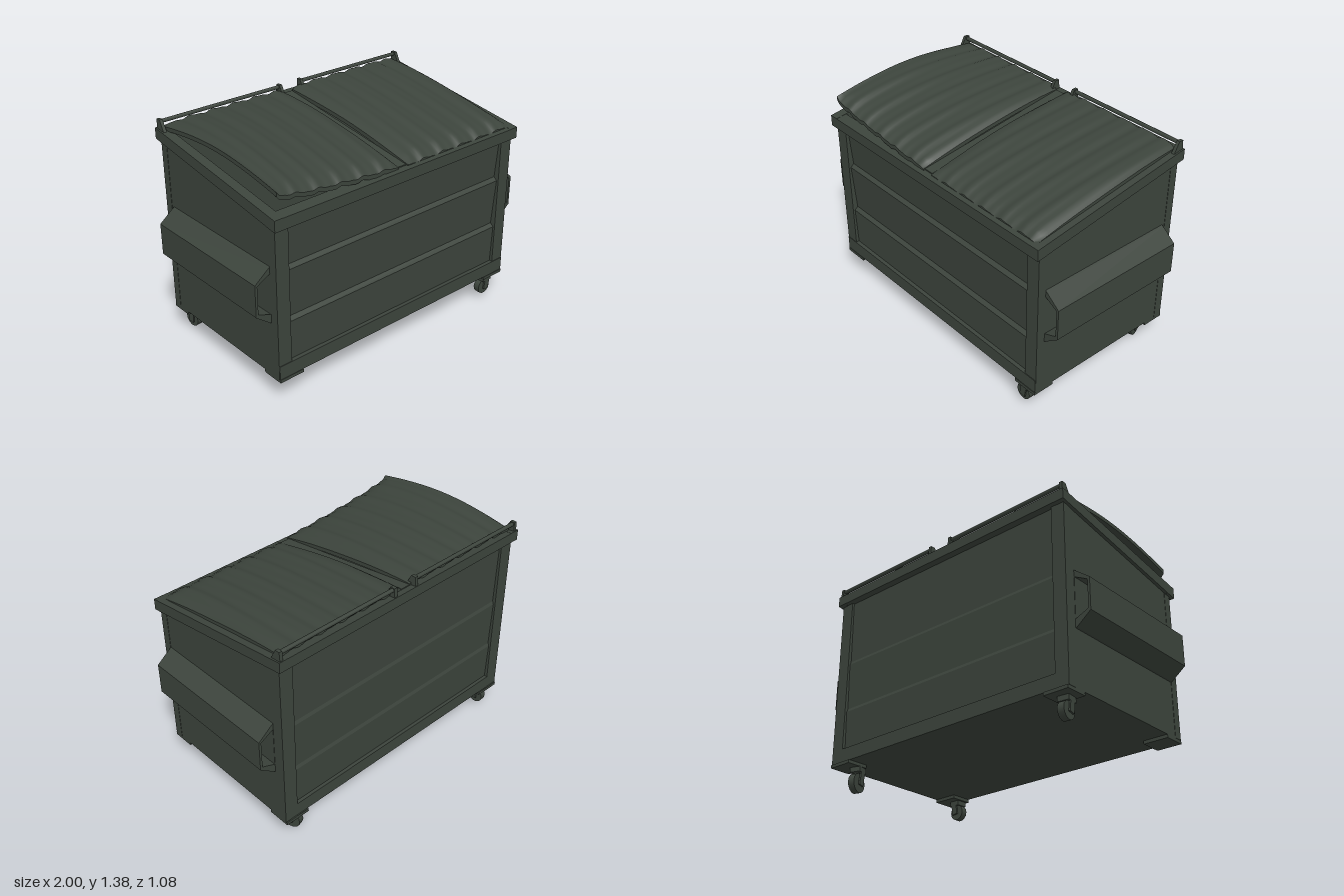
import * as THREE from 'three';

const paint = new THREE.MeshStandardMaterial({ color: 0x3c443c, side: THREE.DoubleSide });
paint.name = 'dark green paint';

function add(parent, name, geometry, x = 0, y = 0, z = 0) {
  const mesh = new THREE.Mesh(geometry, paint);
  mesh.name = name;
  mesh.position.set(x, y, z);
  parent.add(mesh);
  return mesh;
}

// Box given by its lower and upper corners
function block(parent, name, [x0, y0, z0], [x1, y1, z1]) {
  return add(parent, name, new THREE.BoxGeometry(x1 - x0, y1 - y0, z1 - z0),
    (x0 + x1) / 2, (y0 + y1) / 2, (z0 + z1) / 2);
}

const outline = (points) => new THREE.Shape(points.map(([a, b]) => new THREE.Vector2(a, b)));

// Side profile in [z, y], swept from x0 to x1
function sweep(parent, name, points, x0, x1) {
  const geometry = new THREE.ExtrudeGeometry(outline(points), { depth: x1 - x0, bevelEnabled: false });
  geometry.rotateY(-Math.PI / 2);
  geometry.translate(x1, 0, 0);
  return add(parent, name, geometry);
}

// Height of the sloping rim
const rimTop = (z) => 1.25 - z * 0.15;

// Bent lid sheet with lengthwise wrinkles and turned-down edges
function lid(parent, name, x0, x1, heightAt) {
  const z0 = -0.5, z1 = 0.51;
  const geometry = new THREE.BoxGeometry(1, 1, 1, 48, 1, 24);
  const p = geometry.attributes.position;
  for (let i = 0; i < p.count; i++) {
    const u = p.getX(i) + 0.5, v = p.getZ(i) + 0.5;
    const x = x0 + (x1 - x0) * u, z = z0 + (z1 - z0) * v;
    const ripple = 0.005 * Math.sin(x * 41 + 1.2 * Math.sin(z * 4)) + 0.003 * Math.sin(x * 83 + z * 3);
    const edge = 0.025 * Math.max(Math.abs(2 * u - 1) ** 14, (2 * v - 1 > 0 ? 2 * v - 1 : 0) ** 14);
    p.setXYZ(i, x, heightAt(u, v) + ripple - edge + p.getY(i) * 0.025, z);
  }
  geometry.computeVertexNormals();
  add(parent, name, geometry);
}

// Swivel caster: plate, fork and wheel
function caster(parent, name, x, z, radius, bottom, turn) {
  const group = new THREE.Group();
  group.name = name;
  group.position.set(x, 0, z);
  group.rotation.y = turn;
  const axle = bottom + radius;
  block(group, 'casterNeck', [-0.035, 0.13, -0.035], [0.035, 0.165, 0.035]);
  for (const s of [-1, 1]) {
    const arm = block(group, 'casterFork', [s * 0.03 - 0.005, axle - 0.015, -0.02], [s * 0.03 + 0.005, 0.15, 0.02]);
    arm.rotation.x = 0.15;
  }
  const wheel = new THREE.CylinderGeometry(radius, radius, 0.04, 14);
  wheel.rotateZ(Math.PI / 2);
  add(group, 'casterWheel', wheel, 0, axle, -0.01);
  parent.add(group);
}

export function createModel() {
  const model = new THREE.Group();
  model.name = 'wasteContainer';

  // Hollow body
  block(model, 'floor', [-0.9, 0.18, -0.51], [0.9, 0.2, 0.51]);
  const side = [[0.5, 0.18], [0.5, rimTop(0.5) - 0.03], [-0.5, rimTop(-0.5) - 0.03], [-0.5, 0.18]];
  for (const s of [-1, 1]) sweep(model, 'sideWall', side, s * 0.89 - 0.01, s * 0.89 + 0.01);

  // Front and back sheets, folded at two horizontal seams
  const sheet = (top, out, fold) => [
    [out, top], [out - fold, 0.85], [out, 0.83], [out - fold, 0.53], [out, 0.51], [out - 0.01, 0.2],
    [out - 0.05, 0.2], [out - 0.05, top],
  ];
  sweep(model, 'frontPanel', sheet(1.13, 0.5, 0.022), -0.88, 0.88);
  sweep(model, 'backPanel', sheet(1.3, 0.5, 0.008).map(([z, y]) => [-z, y]), -0.88, 0.88);

  // Corner posts and bottom sills
  for (const f of [-1, 1]) {
    const [near, far] = f > 0 ? [0.46, 0.513] : [-0.513, -0.46];
    for (const s of [-1, 1]) {
      const [a, b] = s > 0 ? [0.815, 0.902] : [-0.902, -0.815];
      block(model, 'cornerPost', [a, 0.18, near], [b, f > 0 ? 1.13 : 1.29, far]);
      block(model, 'casterPlate', [s * 0.82 - 0.08, 0.16, f * 0.45 - 0.07], [s * 0.82 + 0.08, 0.18, f * 0.45 + 0.07]);
    }
    block(model, 'bottomSill', [-0.9, 0.18, near], [0.9, 0.265, f > 0 ? 0.517 : far]);
  }

  // Sloping rim
  const rail = [[0.54, 1.1], [0.54, rimTop(0.54)], [-0.54, rimTop(-0.54)], [-0.54, 1.265]];
  for (const s of [-1, 1]) sweep(model, 'sideRim', rail, s * 0.89 - 0.03, s * 0.89 + 0.03);
  sweep(model, 'frontRim', [[0.54, 1.1], [0.54, 1.168], [0.47, 1.178], [0.47, 1.11]], -0.92, 0.92);
  sweep(model, 'backRim', [[-0.54, 1.265], [-0.54, 1.33], [-0.47, 1.32], [-0.47, 1.26]], -0.92, 0.92);
  sweep(model, 'centreBeam', [[0.5, 1.12], [0.5, 1.18], [-0.5, 1.33], [-0.5, 1.27]], -0.04, 0.025);

  // Fork pockets, open at both ends
  const pocket = outline([[0.895, 0.52], [0.91, 0.525], [1, 0.595], [1, 0.79], [0.91, 0.86], [0.895, 0.87]]);
  pocket.holes.push(new THREE.Path([[0.902, 0.575], [0.985, 0.61], [0.985, 0.78], [0.902, 0.825]]
    .map(([x, y]) => new THREE.Vector2(x, y))));
  for (const s of [-1, 1]) {
    const geometry = new THREE.ExtrudeGeometry(pocket, { depth: 0.9, bevelEnabled: false });
    geometry.translate(0, 0, -0.45);
    if (s < 0) geometry.rotateY(Math.PI);
    add(model, 'forkPocket', geometry, 0, 0, 0.01);
  }

  // Lids: one propped up and twisted, one closed
  const mix = THREE.MathUtils.lerp;
  lid(model, 'raisedLid', -0.88, -0.04, (u, v) =>
    mix(1.345, mix(1.315, 1.2, Math.sqrt(u)), v) + mix(0.2, 0.11, u) * v * (1 - v));
  lid(model, 'closedLid', 0.03, 0.88, (u, v) => mix(1.345, 1.19, v) + 0.09 * v * (1 - v));

  // Hinge rods and their brackets
  for (const [a, b] of [[-0.9, -0.06], [0.1, 0.9]]) {
    const rod = new THREE.CylinderGeometry(0.012, 0.012, b - a, 8);
    rod.rotateZ(Math.PI / 2);
    add(model, 'hingeRod', rod, (a + b) / 2, 1.37, -0.515);
    for (const x of [a, b]) {
      sweep(model, 'hingeBracket', [[-0.46, 1.31], [-0.5, 1.385], [-0.53, 1.385], [-0.535, 1.31]], x - 0.01, x + 0.01);
    }
  }

  // Three casters; the front right corner keeps only its plate
  caster(model, 'backLeftCaster', 0.78, -0.41, 0.06, 0.003, 0.3);
  caster(model, 'backRightCaster', -0.82, -0.43, 0.052, 0.03, 0.1);
  caster(model, 'frontLeftCaster', 0.79, 0.47, 0.05, 0.035, Math.PI / 2);

  return model;
}
